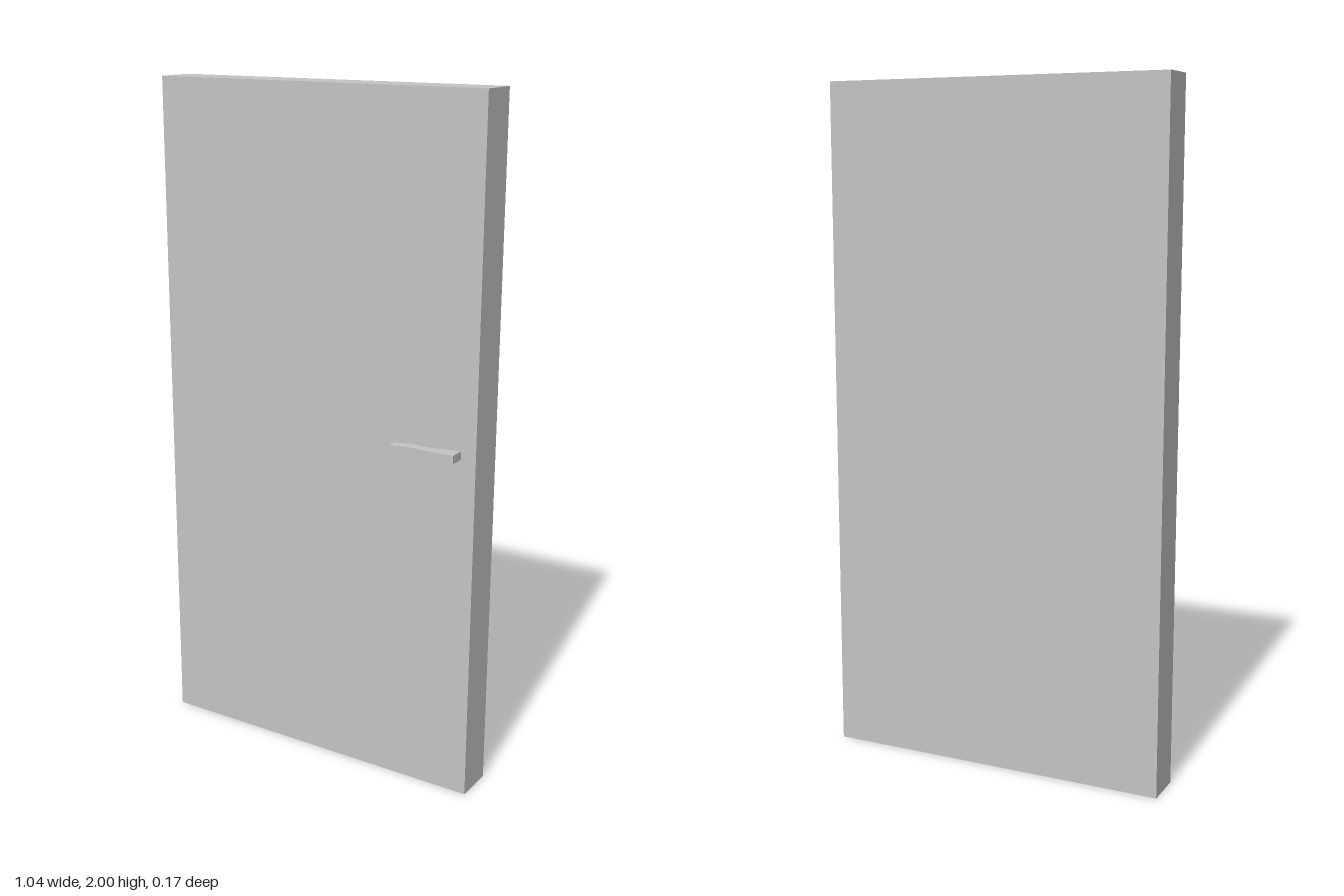
import * as THREE from 'three';

// Solid lofted along x through rectangular sections [x, y0, y1, zBack, zFront]
function loft(sections) {
  const pos = [], idx = [];
  for (const [x, y0, y1, z0, z1] of sections) {
    pos.push(x, y0, z0, x, y0, z1, x, y1, z1, x, y1, z0);
  }
  const last = (sections.length - 1) * 4;
  for (let s = 0; s < last; s += 4) {
    for (let i = 0; i < 4; i++) {
      const a = s + i, b = s + (i + 1) % 4;
      idx.push(a, a + 4, b, b, a + 4, b + 4);
    }
  }
  // end caps
  idx.push(0, 1, 2, 0, 2, 3);
  idx.push(last, last + 2, last + 1, last, last + 3, last + 2);
  const g = new THREE.BufferGeometry();
  g.setAttribute('position', new THREE.Float32BufferAttribute(pos, 3));
  g.setIndex(idx);
  const flat = g.toNonIndexed();
  flat.computeVertexNormals();
  return flat;
}

export function createModel() {
  const group = new THREE.Group();
  group.name = 'door';
  const lightGrey = new THREE.MeshStandardMaterial({ color: 0xc4c4c4 });
  lightGrey.name = 'lightGrey';

  // Door slab
  const slab = new THREE.Mesh(new THREE.BoxGeometry(1.036, 2, 0.121), lightGrey);
  slab.name = 'doorSlab';
  slab.position.set(0, 1, -0.0235);
  group.add(slab);

  // Lever handle: thin free end, bent out from the door, foot against the slab
  const handle = new THREE.Mesh(loft([
    [0.27, 1.019, 1.036, 0.044, 0.076],
    [0.33, 1.019, 1.042, 0.049, 0.08],
    [0.39, 1.019, 1.043, 0.054, 0.084],
    [0.473, 1.019, 1.043, 0.037, 0.084],
  ]), lightGrey);
  handle.name = 'leverHandle';
  group.add(handle);

  return group;
}
